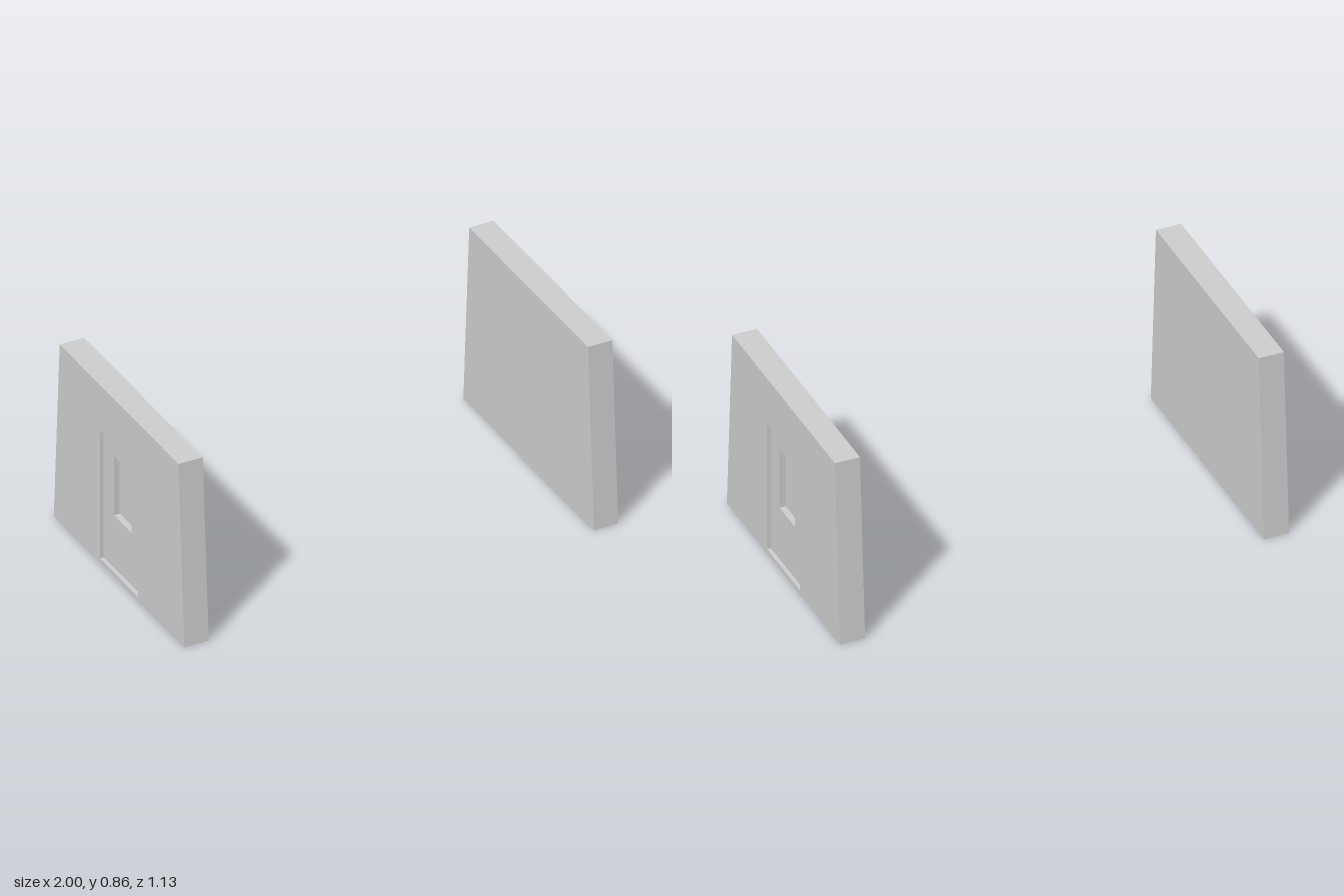
import * as THREE from 'three';

const material = new THREE.MeshStandardMaterial({ color: 0xcccccc, flatShading: true });

// Four corners in the plane at x, counter-clockwise as seen from +x
function outline(x, y0, y1, halfBottom, halfTop = halfBottom) {
  return [[x, y0, halfBottom], [x, y0, -halfBottom], [x, y1, -halfTop], [x, y1, halfTop]];
}

// Joins successive outlines with quads and caps both ends
function skin(loops) {
  const positions = [];
  const quad = (a, b, c, d) => positions.push(...a, ...b, ...c, ...a, ...c, ...d);
  quad(...[...loops[0]].reverse());
  for (let k = 0; k < loops.length - 1; k++) {
    const a = loops[k], b = loops[k + 1];
    for (let i = 0; i < 4; i++) {
      const j = (i + 1) % 4;
      quad(a[i], a[j], b[j], b[i]);
    }
  }
  quad(...loops[loops.length - 1]);
  const geometry = new THREE.BufferGeometry();
  geometry.setAttribute('position', new THREE.Float32BufferAttribute(positions, 3));
  geometry.computeVertexNormals();
  return geometry;
}

export function createModel() {
  const group = new THREE.Group();
  const inner = 0.888, outer = 1;
  const panel = outer - 0.017; // floor of the door-shaped recess
  const pane = panel - 0.027;  // floor of the window-shaped recess

  // Tapered slab whose outer face steps into a panel and then a window
  const geometry = skin([
    outline(inner, 0, 0.855, 0.565, 0.514),
    outline(outer, 0, 0.855, 0.565, 0.514),
    outline(outer, 0.02, 0.638, 0.165),
    outline(panel, 0.02, 0.638, 0.165),
    outline(panel, 0.272, 0.557, 0.077),
    outline(pane, 0.272, 0.557, 0.077),
  ]);

  // A facing pair, recesses outward
  ['leftWall', 'rightWall'].forEach((name, i) => {
    const wall = new THREE.Mesh(geometry, material);
    wall.name = name;
    wall.rotation.y = i * Math.PI;
    group.add(wall);
  });
  return group;
}
